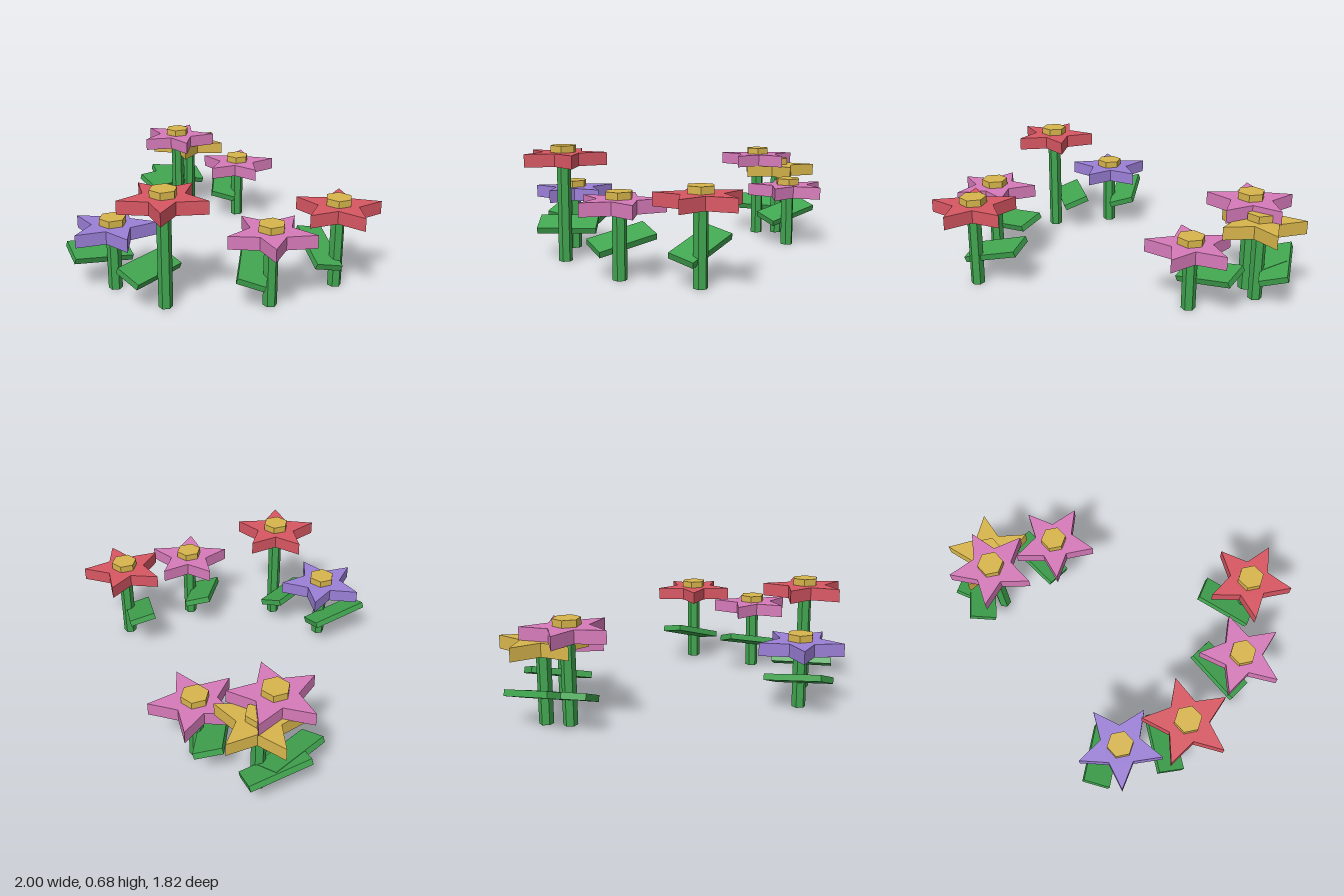
import * as THREE from 'three';

const mat = (name, color) => {
  const m = new THREE.MeshStandardMaterial({ color });
  m.name = name;
  return m;
};

// Five-pointed blossom, lying flat with its top at y = 0
function starGeometry(outer, inner, depth) {
  const pts = [];
  for (let i = 0; i < 10; i++) {
    const a = (i * Math.PI) / 5, r = i % 2 ? inner : outer;
    pts.push(new THREE.Vector2(r * Math.cos(a), r * Math.sin(a)));
  }
  const g = new THREE.ExtrudeGeometry(new THREE.Shape(pts), { depth, bevelEnabled: false });
  return g.rotateX(Math.PI / 2);
}

// Six-sided prism with flat-shaded sides, standing on y = 0
function hexPrism(radius, height, turn) {
  const g = new THREE.CylinderGeometry(radius, radius, height, 6).toNonIndexed();
  g.computeVertexNormals();
  return g.rotateY(turn).translate(0, height / 2, 0);
}

export function createModel() {
  const green = mat('leaf green', 0x41a650);
  const yellow = mat('golden yellow', 0xd9b64c);
  const pink = mat('petal pink', 0xd77bba);
  const red = mat('petal red', 0xd95763);
  const purple = mat('petal purple', 0x9c80d8);

  const HEAD = 0.075;
  const star = starGeometry(0.25, 0.118, HEAD);
  const disc = hexPrism(0.077, 0.04, Math.PI / 6);
  const leafBox = new THREE.BoxGeometry(0.16, 0.036, 0.35);

  // x, z, top of blossom, blossom turn (deg), leaf turn (deg), petal colour
  const flowers = [
    [-0.73, -0.526, 0.55, 35, -7.5, pink],
    [-0.737, -0.66, 0.478, -88, -29, yellow],
    [-0.335, -0.695, 0.39, 24, 37, pink],
    [0.182, 0.657, 0.643, -20, 0, red],
    [0.77, -0.14, 0.495, 25, 54, red],
    [0.615, 0.29, 0.44, -21.5, 33, pink],
    [-0.195, 0.66, 0.392, 27.5, -24, purple],
  ];

  const model = new THREE.Group();
  model.name = 'flowerPatch';

  flowers.forEach(([x, z, top, turn, leafTurn, petalMat], i) => {
    const flower = new THREE.Group();
    flower.name = `flower${i + 1}`;
    flower.position.set(x, 0, z);

    const add = (name, geometry, material, y) => {
      const mesh = new THREE.Mesh(geometry, material);
      mesh.name = name;
      mesh.position.y = y;
      flower.add(mesh);
      return mesh;
    };

    add('stem', hexPrism(0.04, top - HEAD / 2, Math.PI / 12), green, 0);
    add('petals', star, petalMat, top).rotation.y = -THREE.MathUtils.degToRad(turn);
    add('flowerCentre', disc, yellow, top);

    // Leaf slab turned in its own plane, then tipped up to one side
    const leaf = add('leaf', leafBox, green, 0.198);
    leaf.position.x = -0.113;
    leaf.rotation.set(0, THREE.MathUtils.degToRad(leafTurn), -0.36, 'ZYX');

    model.add(flower);
  });
  return model;
}
